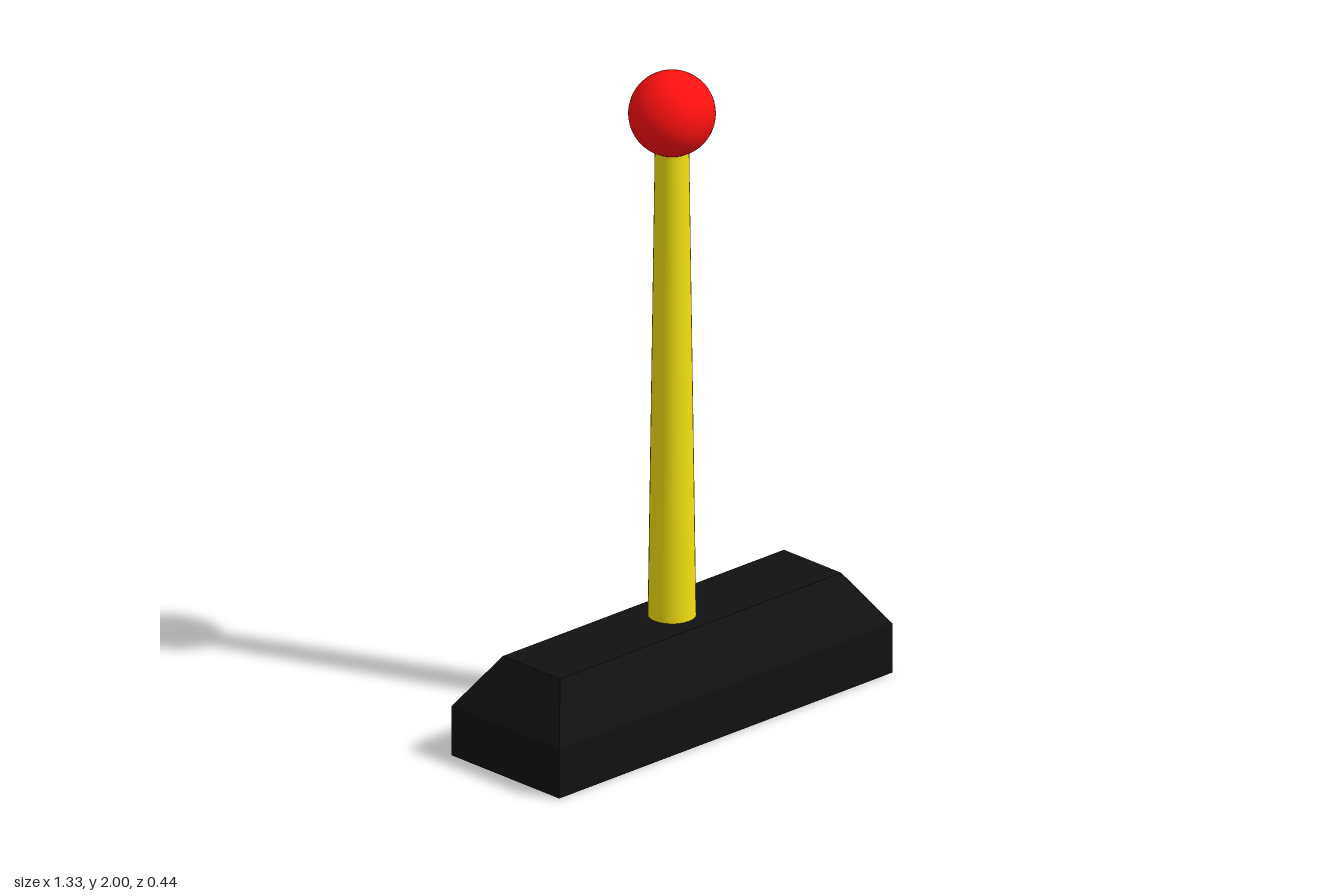
import * as THREE from 'three';

function part(name, geometry, color, y) {
  const mesh = new THREE.Mesh(geometry, new THREE.MeshStandardMaterial({ color }));
  mesh.name = name;
  mesh.position.y = y;
  return mesh;
}

// Block with straight lower walls and a bevelled upper half
function bevelledBlock(width, height, depth, wall, inset) {
  const box = new THREE.BoxGeometry(width, height, depth, 1, 2, 1);
  const pos = box.attributes.position;
  for (let i = 0; i < pos.count; i++) {
    const y = pos.getY(i);
    if (y > 0.01) {
      pos.setX(i, pos.getX(i) - Math.sign(pos.getX(i)) * inset);
      pos.setZ(i, pos.getZ(i) - Math.sign(pos.getZ(i)) * inset);
    }
    pos.setY(i, y > 0.01 ? height : y < -0.01 ? 0 : wall);
  }
  const flat = box.toNonIndexed();
  flat.computeVertexNormals();
  return flat;
}

export function createModel() {
  const model = new THREE.Group();
  model.name = 'leverOnBase';

  // Base sits a hair above the ground so the end of the shaft shows underneath
  model.add(part('base', bevelledBlock(1.332, 0.31, 0.444, 0.153, 0.104), 0x111111, 0.002));

  // Tapered shaft running through the base into the knob
  const shaftHeight = 1.8;
  model.add(part('shaft', new THREE.CylinderGeometry(0.049, 0.074, shaftHeight, 32), 0xf5e210, shaftHeight / 2));

  // Round knob
  model.add(part('knob', new THREE.SphereGeometry(0.126, 40, 28), 0xff1010, 1.874));

  return model;
}
